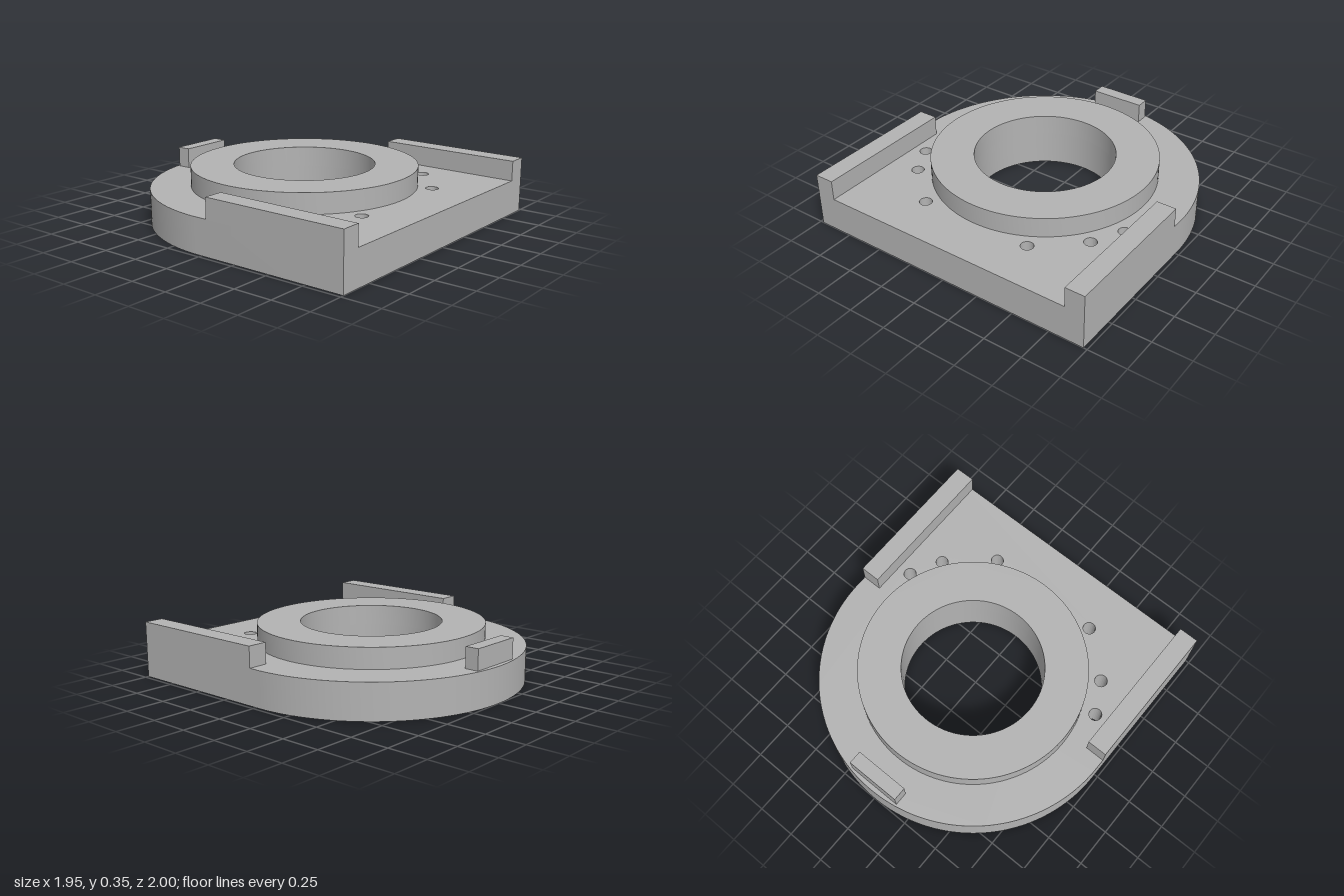
import * as THREE from 'three';
import { toCreasedNormals } from 'three/addons/utils/BufferGeometryUtils.js';

const R = 0.977;          // outer radius of the rounded end
const CZ = -0.025;        // z of the bore centre
const BORE = 0.447;
const BASE_H = 0.225;
const TOP = 0.355;

// Circle path in plan; plan y is -z
const circle = (Type, x, z, r) => {
  const p = new Type();
  p.absarc(x, -z, r, 0, Math.PI * 2, false);
  return p;
};

// Extrude a plan shape upward from y0 to y1
function slab(shape, y0, y1) {
  const g = new THREE.ExtrudeGeometry(shape, { depth: y1 - y0, bevelEnabled: false, curveSegments: 64 });
  g.rotateX(-Math.PI / 2).translate(0, y0, 0);
  return toCreasedNormals(g, 0.5);
}

export function createModel() {
  const group = new THREE.Group();
  const grey = new THREE.MeshStandardMaterial({ color: 0xb3b3b3 });
  grey.name = 'machined grey';

  const add = (name, geometry) => {
    const mesh = new THREE.Mesh(geometry, grey);
    mesh.name = name;
    group.add(mesh);
  };
  const addBlock = (name, x0, x1, z0, z1) => {
    const g = new THREE.BoxGeometry(x1 - x0, TOP - BASE_H, z1 - z0);
    add(name, g.translate((x0 + x1) / 2, (TOP + BASE_H) / 2, (z0 + z1) / 2));
  };

  // Base plate: square front, half-round back, bore and bolt holes
  const plate = new THREE.Shape();
  plate.moveTo(-R, -1);
  plate.lineTo(R, -1);
  plate.lineTo(R, 1 - R);
  plate.absarc(0, 1 - R, R, 0, Math.PI, false);
  plate.closePath();
  plate.holes.push(circle(THREE.Path, 0, CZ, BORE));
  for (const side of [-1, 1]) {
    for (const [x, z] of [[0.763, 0.25], [0.656, 0.45], [0.381, 0.69]]) {
      plate.holes.push(circle(THREE.Path, side * x, z, 0.04));
    }
  }
  add('basePlate', slab(plate, 0, BASE_H));

  // Raised ring around the bore
  const ring = circle(THREE.Shape, 0, CZ, 0.72);
  ring.holes.push(circle(THREE.Path, 0, CZ, BORE));
  add('raisedRing', slab(ring, BASE_H, TOP));

  // Side rails and rear locating key
  addBlock('leftRail', 0.85, R, 0.043, 1);
  addBlock('rightRail', -R, -0.85, 0.043, 1);
  addBlock('rearKey', -0.178, 0.178, -0.97, -0.883);

  return group;
}
